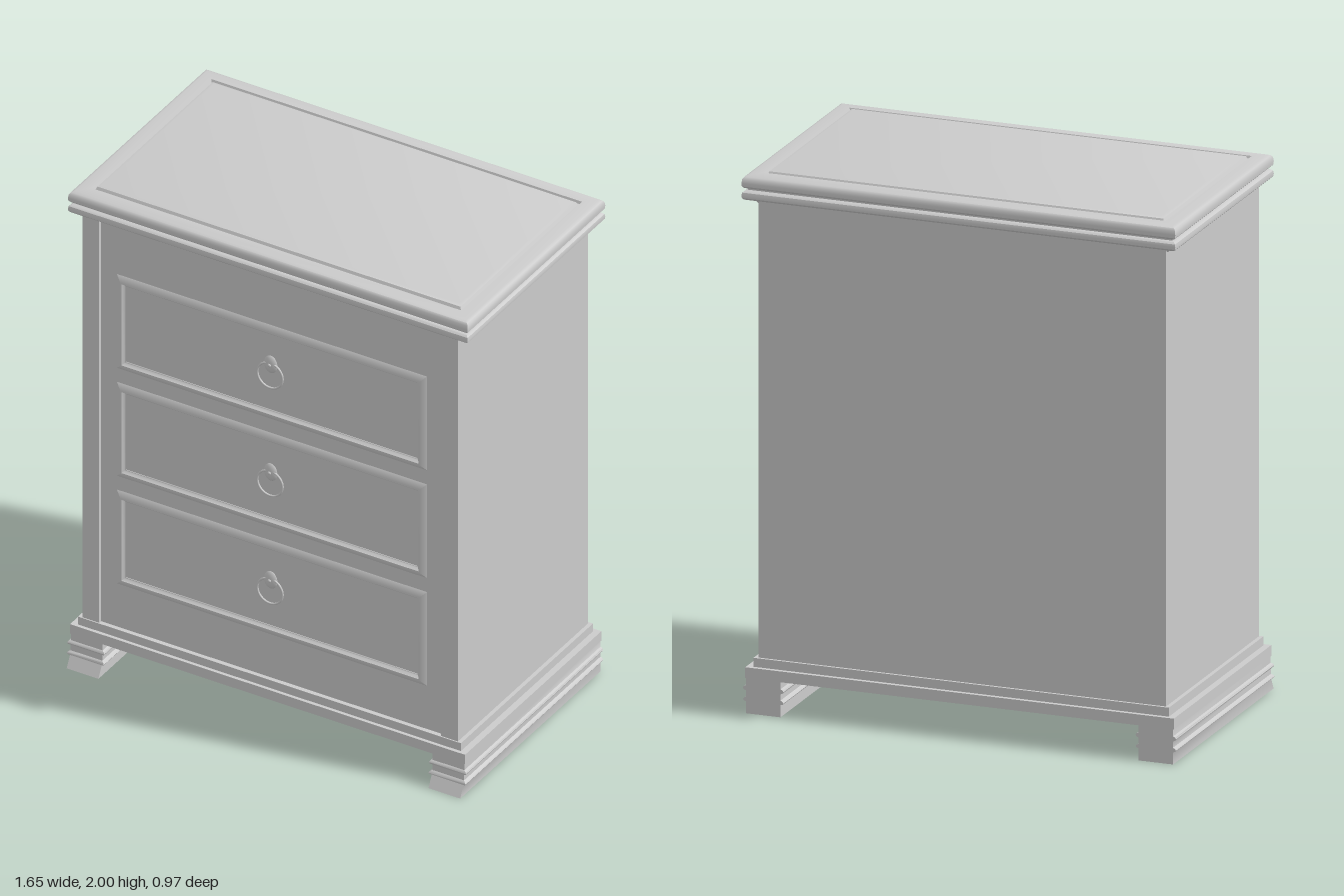
import * as THREE from 'three';
import { toCreasedNormals } from 'three/addons/utils/BufferGeometryUtils.js';

const material = new THREE.MeshStandardMaterial({ color: 0xcccccc });

function add(parent, name, geometry, x = 0, y = 0, z = 0) {
  const mesh = new THREE.Mesh(geometry, material);
  mesh.name = name;
  mesh.position.set(x, y, z);
  parent.add(mesh);
  return mesh;
}

function box(parent, name, x0, x1, y0, y1, z0, z1) {
  return add(parent, name, new THREE.BoxGeometry(x1 - x0, y1 - y0, z1 - z0),
    (x0 + x1) / 2, (y0 + y1) / 2, (z0 + z1) / 2);
}

// Stacks rectangular rings [y, x0, x1, z0, z1] from bottom to top into a capped moulding
function loft(rings) {
  const loops = rings.map(([y, x0, x1, z0, z1]) =>
    [[x0, y, z1], [x1, y, z1], [x1, y, z0], [x0, y, z0]]);
  const pos = [];
  const quad = (a, b, c, d) => pos.push(...a, ...b, ...c, ...a, ...c, ...d);
  for (let k = 0; k < loops.length - 1; k++) {
    const lo = loops[k], hi = loops[k + 1];
    for (let i = 0; i < 4; i++) {
      const j = (i + 1) % 4;
      quad(lo[i], lo[j], hi[j], hi[i]);
    }
  }
  quad(...loops[loops.length - 1]);
  quad(...[...loops[0]].reverse());
  const geometry = new THREE.BufferGeometry();
  geometry.setAttribute('position', new THREE.Float32BufferAttribute(pos, 3));
  return toCreasedNormals(geometry, 0.6);
}

// Ring pull: oval plate, small pin and hanging ring
function makeHandle() {
  const handle = new THREE.Group();
  handle.name = 'handle';
  const plate = add(handle, 'handlePlate', new THREE.SphereGeometry(1, 24, 12), 0, 0.045, 0);
  plate.scale.set(0.029, 0.038, 0.014);
  const pin = add(handle, 'handlePin', new THREE.SphereGeometry(0.007, 12, 8), 0, 0.045, 0.013);
  pin.scale.z = 0.8;
  add(handle, 'handleRing', new THREE.TorusGeometry(0.052, 0.004, 8, 40), 0, 0, 0.008);
  return handle;
}

// Drawer front: sloped outer edge, narrow ridge and sunken field
function makeDrawer() {
  const drawer = new THREE.Group();
  drawer.name = 'drawer';
  const hx = 0.64, hy = 0.198;
  const profile = [[-0.02, 0], [0, 0], [0.014, 0.022], [0.014, 0.027], [0.004, 0.034], [0.002, 0.038], [-0.005, 0.04]];
  const front = loft(profile.map(([d, inset]) =>
    [d, -hx + inset, hx - inset, -hy + inset, hy - inset]));
  front.rotateX(Math.PI / 2);
  add(drawer, 'drawerFront', front);
  const handle = makeHandle();
  handle.position.set(-0.005, -0.013, -0.004);
  drawer.add(handle);
  return drawer;
}

export function createModel() {
  const model = new THREE.Group();
  model.name = 'chestOfDrawers';

  // Carcass with a slightly sunken front between two stiles
  box(model, 'carcass', -0.775, 0.775, 0.19, 1.9, -0.45, 0.425);
  for (const s of [-1, 1]) {
    const [a, b] = s > 0 ? [0.705, 0.775] : [-0.775, -0.705];
    box(model, 'stile', a, b, 0.19, 1.9, 0.42, 0.438);
  }

  // Three drawers
  for (const y of [0.583, 1.038, 1.493]) {
    const drawer = makeDrawer();
    drawer.position.set(0, y, 0.425);
    model.add(drawer);
  }

  // Top: cove, lower bead, neck, rounded slab, groove and centre panel, as [y, inset]
  const topProfile = [
    [1.885, 0.045], [1.893, 0.04], [1.9, 0.022], [1.903, 0.008], [1.91, 0.001], [1.92, 0],
    [1.93, 0.002], [1.936, 0.009], [1.938, 0.018], [1.944, 0.018], [1.946, 0.008], [1.953, 0.001],
    [1.965, 0], [1.98, 0.002], [1.988, 0.008], [1.992, 0.018], [1.994, 0.06],
    [1.984, 0.064], [1.984, 0.07], [1.996, 0.076], [2, 0.088],
  ];
  add(model, 'top', loft(topProfile.map(([y, i]) =>
    [y, -0.825 + i, 0.825 - i, -0.487 + i, 0.453 - i])));

  // Stepped plinth
  box(model, 'plinthUpper', -0.79, 0.79, 0.16, 0.203, -0.46, 0.442);
  box(model, 'plinthLower', -0.815, 0.815, 0.13, 0.17, -0.476, 0.455);

  // Moulded runner feet with a flared front, as [y, swell, front z]
  const footProfile = [
    [0, 0, 0.483], [0.045, 0, 0.46], [0.047, 0.008, 0.464], [0.052, 0.011, 0.465], [0.057, 0.008, 0.463],
    [0.062, 0, 0.457], [0.085, 0, 0.456], [0.088, 0.008, 0.46], [0.094, 0.011, 0.462], [0.1, 0.008, 0.46],
    [0.104, 0, 0.455], [0.135, 0, 0.455],
  ];
  for (const s of [-1, 1]) {
    add(model, 'runnerFoot', loft(footProfile.map(([y, w, z]) => {
      const inner = 0.681 - w, outer = 0.812 + w;
      return s > 0 ? [y, inner, outer, -0.476, z] : [y, -outer, -inner, -0.476, z];
    })));
  }

  return model;
}
